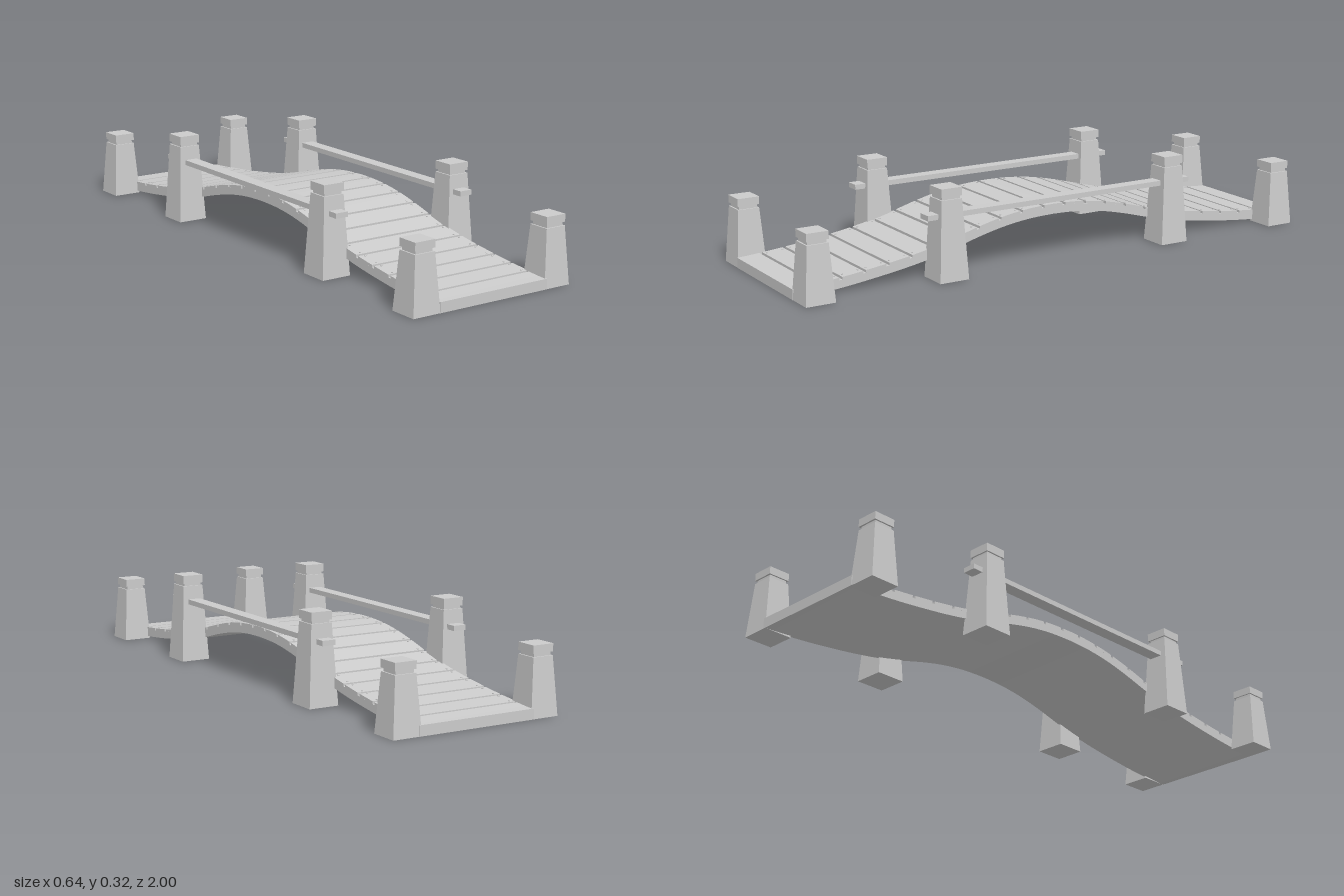
import * as THREE from 'three';
import { toCreasedNormals } from 'three/addons/utils/BufferGeometryUtils.js';

const stone = new THREE.MeshStandardMaterial({ color: 0xcccccc });

// Height of the walking surface, as a curve over the distance from mid-span
const RISE = [0.186, 0.182, 0.169, 0.147, 0.12, 0.096, 0.078, 0.064, 0.052, 0.043, 0.036];
const riseCurve = new THREE.SplineCurve(RISE.map((y, i) => new THREE.Vector2(i / 10, y)));
const topY = (z) => riseCurve.getPoint(Math.min(Math.abs(z), 1)).y;

const DECK_WIDTH = 0.44;
const PITCH = 0.087;   // plank spacing
const GAP = 0.011;     // open joint between planks
const PLANK = 0.009;   // plank thickness
const THICK = 0.036;   // total deck thickness

function addMesh(parent, name, geometry, x = 0, y = 0, z = 0) {
  const mesh = new THREE.Mesh(geometry, stone);
  mesh.name = name;
  mesh.position.set(x, y, z);
  parent.add(mesh);
  return mesh;
}

// Strip of deck from z0 to z1, between two depths below the walking surface
function deckStrip(z0, z1, upper, lower, steps, width) {
  const top = [], bottom = [];
  for (let i = 0; i <= steps; i++) {
    const z = z0 + ((z1 - z0) * i) / steps;
    top.push(new THREE.Vector2(z, topY(z) - upper));
    bottom.push(new THREE.Vector2(z, Math.max(0, topY(z) - lower)));
  }
  const shape = new THREE.Shape([...bottom, ...top.reverse()]);
  const geometry = new THREE.ExtrudeGeometry(shape, { depth: width, bevelEnabled: false });
  geometry.translate(0, 0, -width / 2);
  geometry.rotateY(-Math.PI / 2);
  return toCreasedNormals(geometry, 0.5);
}

// Square tapered block standing on y = 0
function taperedBlock(bottom, top, height) {
  const geometry = new THREE.CylinderGeometry(top / Math.SQRT2, bottom / Math.SQRT2, height, 4).toNonIndexed();
  geometry.rotateY(Math.PI / 4);
  geometry.translate(0, height / 2, 0);
  geometry.computeVertexNormals();
  return geometry;
}

// Post: tapered shaft, recessed neck and square cap
function makePost(name, base, shaftHeight, neckHeight, capHeight) {
  const post = new THREE.Group();
  post.name = name;
  addMesh(post, 'shaft', taperedBlock(base, 0.078, shaftHeight));
  addMesh(post, 'neck', taperedBlock(0.067, 0.067, neckHeight), 0, shaftHeight, 0);
  addMesh(post, 'cap', taperedBlock(0.079, 0.079, capHeight), 0, shaftHeight + neckHeight, 0);
  return post;
}

export function createModel() {
  const bridge = new THREE.Group();
  bridge.name = 'archedBridge';

  // Arched base slab under the planks
  const deck = new THREE.Group();
  deck.name = 'deck';
  bridge.add(deck);
  addMesh(deck, 'archedSlab', deckStrip(-1, 1, PLANK, THICK, 64, DECK_WIDTH));

  // Planks with nails near both ends
  const nail = new THREE.CylinderGeometry(0.0035, 0.0035, 0.004, 6);
  for (let i = -10; i <= 10; i++) {
    const z0 = i * PITCH - (PITCH - GAP) / 2;
    const z1 = z0 + PITCH - GAP;
    addMesh(deck, 'plank', deckStrip(z0, z1, 0, PLANK, 2, DECK_WIDTH));
    for (const x of [-0.198, 0.198]) {
      for (const z of [z0 + 0.009, z1 - 0.009]) {
        const head = addMesh(deck, 'nail', nail, x, topY(z) + 0.0005, z);
        head.rotation.x = -Math.atan((topY(z + 0.005) - topY(z - 0.005)) / 0.01);
      }
    }
  }

  // Solid thresholds at both ends
  const edge = 10.5 * PITCH + GAP / 2;
  addMesh(deck, 'frontThreshold', deckStrip(edge, 1, 0, PLANK, 2, DECK_WIDTH));
  addMesh(deck, 'backThreshold', deckStrip(-1, -edge, 0, PLANK, 2, DECK_WIDTH));

  // Posts and handrails on both sides
  for (const side of [-1, 1]) {
    for (const end of [-1, 1]) {
      const tall = makePost('tallPost', 0.11, 0.278, 0.01, 0.029);
      tall.position.set(side * 0.263, 0, end * 0.455);
      const short = makePost('endPost', 0.106, 0.198, 0.012, 0.027);
      // one end post stands slightly further out
      const x = side < 0 && end > 0 ? -0.272 : side * 0.264;
      short.position.set(x, 0, end * 0.946);
      bridge.add(tall, short);
    }
    addMesh(bridge, 'handrail', new THREE.BoxGeometry(0.048, 0.018, 1.074), side * 0.261, 0.22, 0);
  }
  return bridge;
}
